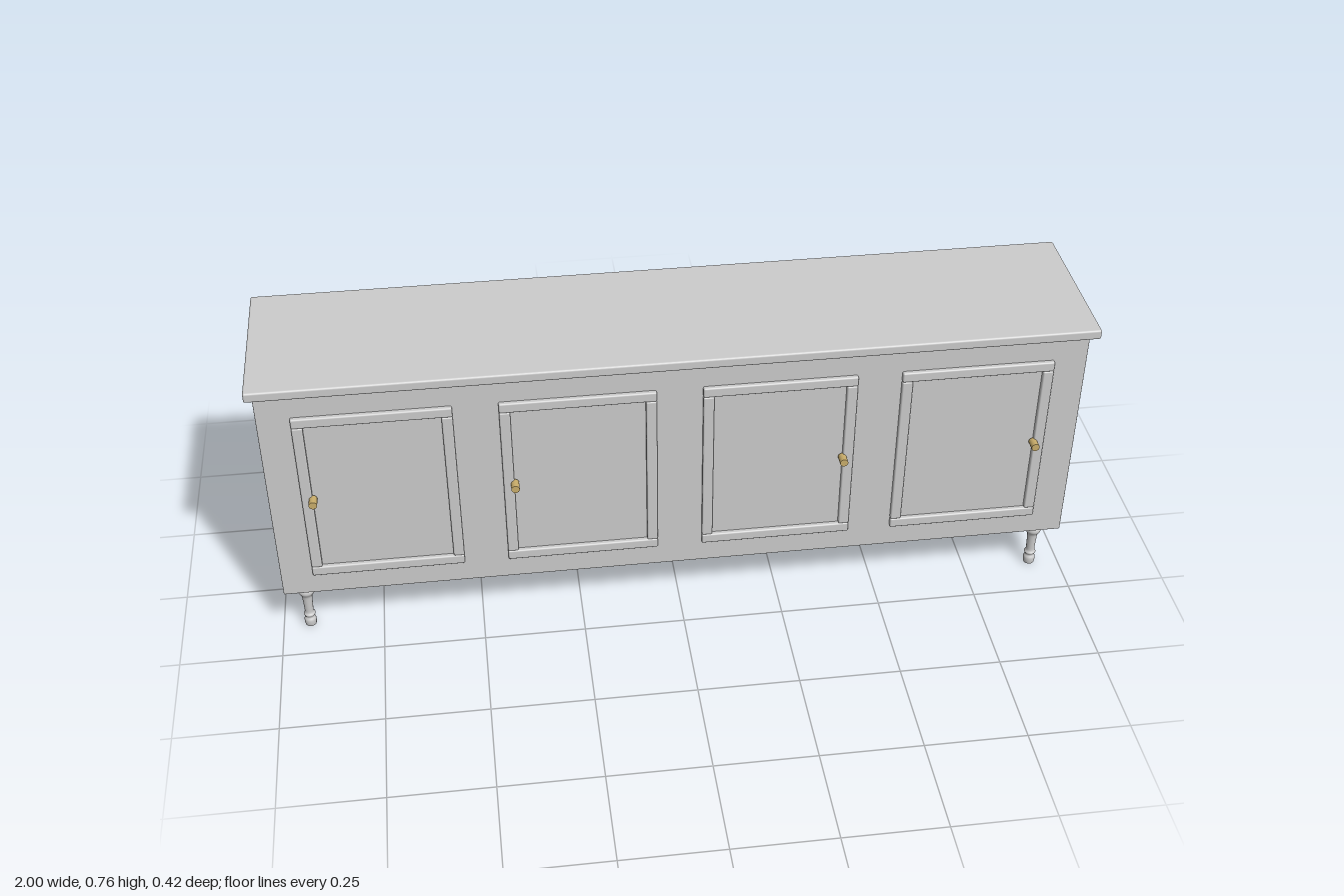
import * as THREE from 'three';
import { RoundedBoxGeometry } from 'three/addons/geometries/RoundedBoxGeometry.js';

const grey = new THREE.MeshStandardMaterial({ color: 0xcccccc });
const brass = new THREE.MeshStandardMaterial({ color: 0xc9ad6a });

// Softly rounded box given by its min and max corners
function slab(name, min, max, radius) {
  const size = max.map((v, i) => v - min[i]);
  const mesh = new THREE.Mesh(new RoundedBoxGeometry(...size, 3, radius), grey);
  mesh.position.set(...max.map((v, i) => (v + min[i]) / 2));
  mesh.name = name;
  return mesh;
}

// Raised frame of two rails and two stiles, with a knob on one stile
function createDoor(knobSide) {
  const door = new THREE.Group();
  door.name = 'door';
  const half = 0.185, w = 0.026, back = 0.176, front = 0.191, r = 0.004;
  door.add(slab('topRail', [-half, 0.644, back], [half, 0.67, front], r));
  door.add(slab('bottomRail', [-half, 0.199, back], [half, 0.225, front], r));
  for (const s of [-1, 1]) {
    const x = s * (half - w / 2);
    door.add(slab('stile', [x - w / 2, 0.225, back], [x + w / 2, 0.644, front], r));
  }
  const knob = new THREE.Mesh(new THREE.CylinderGeometry(0.01, 0.01, 0.028, 24), brass);
  knob.name = 'knob';
  knob.rotation.x = Math.PI / 2;
  knob.position.set(knobSide * 0.158, 0.434, 0.199);
  door.add(knob);
  return door;
}

// Turned leg profile, from foot to top
function createLegGeometry() {
  const curve = new THREE.SplineCurve([
    [0.0135, 0], [0.0148, 0.008], [0.0145, 0.018], [0.0108, 0.026],
    [0.0148, 0.034], [0.0112, 0.041], [0.0112, 0.055], [0.0125, 0.085],
    [0.0142, 0.096], [0.0198, 0.106], [0.0198, 0.114], [0.0165, 0.122],
    [0.0185, 0.13], [0.0205, 0.139],
  ].map(([x, y]) => new THREE.Vector2(x, y)));
  return new THREE.LatheGeometry([new THREE.Vector2(0, 0), new THREE.Vector2(0.0135, 0), ...curve.getPoints(52)], 28);
}

export function createModel() {
  const model = new THREE.Group();
  model.name = 'sideboard';

  // Carcass and overhanging top
  model.add(slab('cabinetBody', [-0.983, 0.137, -0.193], [0.98, 0.735, 0.18], 0.003));
  model.add(slab('tableTop', [-1, 0.733, -0.211], [1, 0.758, 0.199], 0.005));

  // Doors: knobs on the outer side of each half
  for (const [x, side] of [[-0.72, -1], [-0.243, -1], [0.237, 1], [0.714, 1]]) {
    const door = createDoor(side);
    door.position.x = x;
    model.add(door);
  }

  // Four turned legs
  const legGeometry = createLegGeometry();
  for (const x of [-0.933, 0.926]) {
    for (const z of [0.137, -0.149]) {
      const leg = new THREE.Mesh(legGeometry, grey);
      leg.name = 'leg';
      leg.position.set(x, 0, z);
      model.add(leg);
    }
  }
  return model;
}
